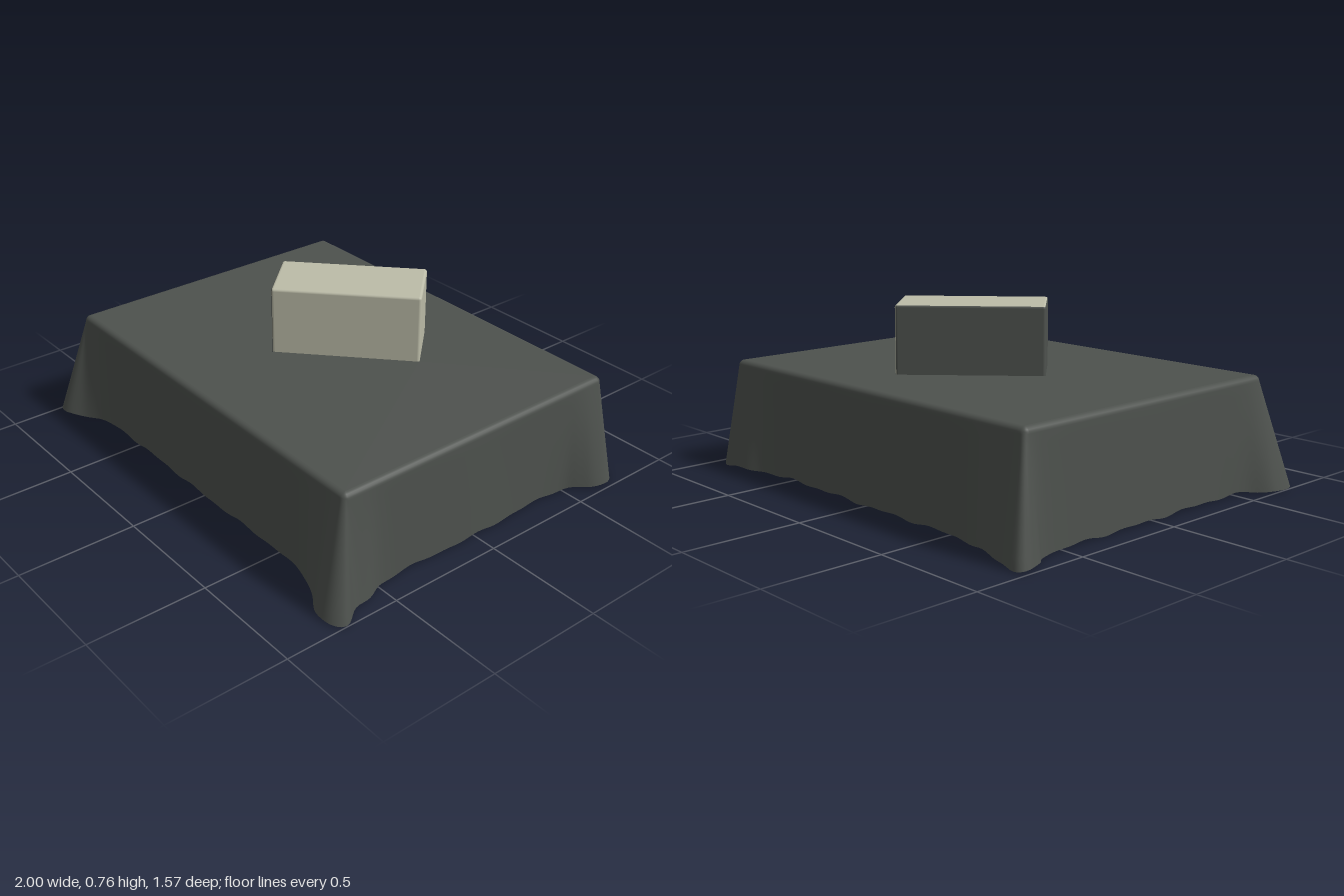
import * as THREE from 'three';
import { RoundedBoxGeometry } from 'three/addons/geometries/RoundedBoxGeometry.js';

const clothMat = new THREE.MeshStandardMaterial({ color: 0x4e524e, side: THREE.DoubleSide });
clothMat.name = 'charcoal cloth';
const creamMat = new THREE.MeshStandardMaterial({ color: 0xbcbca8, side: THREE.DoubleSide });
creamMat.name = 'cream card';

// Table edge, cloth bend radius and the slightly tilted top
const EDGE = { x0: -0.9, x1: 0.893, z0: -0.69, z1: 0.662 };
const BEND = 0.025;
const topY = (x) => 0.479 - 0.005 * x;

// Hem outline (x, z): straight sides with a flared fold at each corner
const HEM = [
  [-0.6, 0.664], [-0.75, 0.675], [-0.85, 0.72], [-0.94, 0.78], [-0.995, 0.76], [-0.995, 0.66], [-0.925, 0.55], [-0.905, 0.45],
  [-0.905, 0], [-0.905, -0.5], [-0.92, -0.62], [-0.97, -0.68], [-0.985, -0.75], [-0.96, -0.787], [-0.85, -0.76], [-0.72, -0.725], [-0.6, -0.697],
  [0, -0.693], [0.55, -0.693], [0.68, -0.71], [0.78, -0.745], [0.93, -0.745], [0.98, -0.69], [0.97, -0.62], [0.93, -0.56], [0.897, -0.5],
  [0.897, 0], [0.897, 0.48], [0.935, 0.57], [0.95, 0.65], [0.997, 0.73], [0.96, 0.775], [0.88, 0.78], [0.78, 0.72], [0.65, 0.672], [0, 0.666],
];

// Cloth sides: a loft from the bent table edge down to the hem
function skirtGeometry() {
  const N = 360, bendRows = 5, dropRows = 10;
  const rows = bendRows + dropRows;
  const curve = new THREE.CatmullRomCurve3(HEM.map(([x, z]) => new THREE.Vector3(x, 0, z)), true, 'centripetal');
  const hem = curve.getSpacedPoints(N).slice(0, N);
  const pos = [], index = [];
  hem.forEach((b, i) => {
    const ix = THREE.MathUtils.clamp(b.x, EDGE.x0 + BEND, EDGE.x1 - BEND);
    const iz = THREE.MathUtils.clamp(b.z, EDGE.z0 + BEND, EDGE.z1 - BEND);
    const len = Math.hypot(b.x - ix, b.z - iz) || 1;
    const dx = (b.x - ix) / len, dz = (b.z - iz) / len;
    const a = (i / N) * Math.PI * 2;
    const hemY = 0.013 + 0.004 * Math.sin(a * 23) + 0.003 * Math.sin(a * 41 + 1);
    for (let r = 0; r <= rows; r++) {
      const bend = (Math.min(r / bendRows, 1) * Math.PI) / 2;
      const t = Math.max(0, r - bendRows) / dropRows;
      const off = BEND * Math.sin(bend);
      const y = topY(ix) - BEND * (1 - Math.cos(bend));
      pos.push(
        THREE.MathUtils.lerp(ix + dx * off, b.x, t),
        THREE.MathUtils.lerp(y, hemY, t),
        THREE.MathUtils.lerp(iz + dz * off, b.z, t),
      );
    }
  });
  const id = (i, r) => (i % N) * (rows + 1) + r;
  for (let i = 0; i < N; i++) {
    for (let r = 0; r < rows; r++) {
      index.push(id(i, r), id(i + 1, r), id(i, r + 1), id(i + 1, r), id(i + 1, r + 1), id(i, r + 1));
    }
  }
  // Hem runs clockwise seen from above, so flip to face outwards
  for (let k = 0; k < index.length; k += 3) [index[k + 1], index[k + 2]] = [index[k + 2], index[k + 1]];
  const g = new THREE.BufferGeometry();
  g.setAttribute('position', new THREE.Float32BufferAttribute(pos, 3));
  g.setIndex(index);
  g.computeVertexNormals();
  if (g.attributes.normal.getX(id(8, rows)) === undefined) g.computeVertexNormals();
  return g;
}

// Cloth top, open where the box stands
function clothTopGeometry(box) {
  const x0 = EDGE.x0 + BEND, x1 = EDGE.x1 - BEND, z0 = EDGE.z0 + BEND, z1 = EDGE.z1 - BEND;
  const outline = (pts) => pts.map(([x, z]) => new THREE.Vector2(x, -z));
  const shape = new THREE.Shape(outline([[x0, z1], [x1, z1], [x1, z0], [x0, z0]]));
  const c = Math.cos(box.turn), s = Math.sin(box.turn);
  const corners = [[-1, -1], [1, -1], [1, 1], [-1, 1]].map(([u, v]) => {
    const lx = (u * box.w) / 2, lz = (v * box.d) / 2;
    return [box.x + lx * c + lz * s, box.z - lx * s + lz * c];
  });
  shape.holes.push(new THREE.Path(outline(corners)));
  const g = new THREE.ShapeGeometry(shape);
  g.rotateX(-Math.PI / 2);
  const p = g.attributes.position;
  for (let i = 0; i < p.count; i++) p.setY(i, topY(p.getX(i)));
  return g;
}

// One side cut out of a rounded box
function boxSide(source, i) {
  const { start, count } = source.groups[i];
  const g = new THREE.BufferGeometry();
  for (const key of ['position', 'normal']) {
    const part = source.attributes[key].array.slice(start * 3, (start + count) * 3);
    g.setAttribute(key, new THREE.BufferAttribute(part, 3));
  }
  return g;
}

export function createModel() {
  const model = new THREE.Group();
  model.name = 'coveredTableWithBox';
  const add = (parent, geometry, material, name) => {
    const mesh = new THREE.Mesh(geometry, material);
    mesh.name = name;
    parent.add(mesh);
  };
  const box = { x: 0.015, z: -0.095, w: 0.615, d: 0.29, turn: 0.751, y0: 0.465, y1: 0.767 };

  const cloth = new THREE.Group();
  cloth.name = 'tablecloth';
  add(cloth, clothTopGeometry(box), clothMat, 'clothTop');
  add(cloth, skirtGeometry(), clothMat, 'clothSkirt');
  model.add(cloth);

  // Hollow box, open underneath, with two dark sides
  const carton = new THREE.Group();
  carton.name = 'box';
  carton.position.set(box.x, (box.y0 + box.y1) / 2, box.z);
  carton.rotation.y = box.turn;
  const rounded = new RoundedBoxGeometry(box.w, box.y1 - box.y0, box.d, 3, 0.012);
  [
    [0, creamMat, 'boxRightEnd'], [1, clothMat, 'boxLeftEnd'], [2, creamMat, 'boxTop'],
    [4, creamMat, 'boxFront'], [5, clothMat, 'boxBack'],
  ].forEach(([i, material, name]) => add(carton, boxSide(rounded, i), material, name));
  model.add(carton);
  return model;
}
